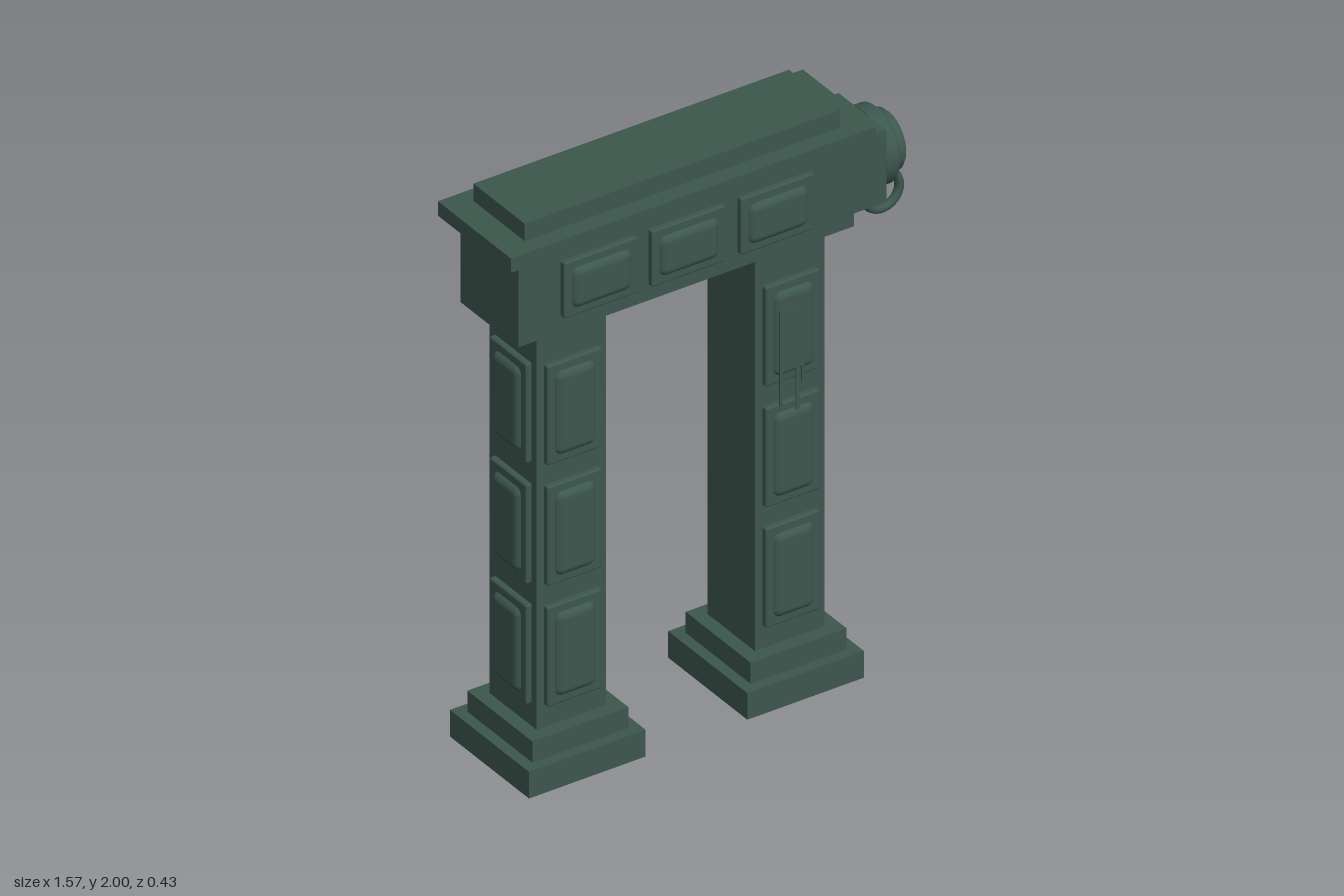
import * as THREE from 'three';
import { RoundedBoxGeometry } from 'three/addons/geometries/RoundedBoxGeometry.js';

export function createModel() {
  const root = new THREE.Group();
  root.name = 'stoneGate';
  const stone = new THREE.MeshStandardMaterial({ color: 0x3c574d });
  stone.name = 'dark green stone';

  const add = (parent, name, geometry, x = 0, y = 0, z = 0) => {
    const mesh = new THREE.Mesh(geometry, stone);
    mesh.name = name;
    mesh.position.set(x, y, z);
    parent.add(mesh);
    return mesh;
  };
  // box given by its x and y limits and half depth
  const block = (parent, name, x0, x1, y0, y1, hz) =>
    add(parent, name, new THREE.BoxGeometry(x1 - x0, y1 - y0, hz * 2), (x0 + x1) / 2, (y0 + y1) / 2, 0);

  // raised plate with a soft pillow; local +z points outward from the wall
  const panel = (parent, w, h, x, y, z, turn) => {
    const group = new THREE.Group();
    group.name = 'raisedPanel';
    add(group, 'panelPlate', new RoundedBoxGeometry(w, h, 0.04, 2, 0.007));
    add(group, 'panelPillow', new RoundedBoxGeometry(w - 0.046, h - 0.05, 0.07, 4, 0.03));
    group.position.set(x, y, z);
    group.rotation.y = turn;
    parent.add(group);
  };

  // pillars: stepped base, shaft, panels on front, back and outer side
  for (const [name, cx, out] of [['rightPillar', -0.517, -1], ['leftPillar', 0.28, 1]]) {
    const pillar = new THREE.Group();
    pillar.name = name;
    root.add(pillar);
    block(pillar, 'lowerBase', cx - 0.213, cx + 0.213, 0, 0.095, 0.213);
    block(pillar, 'upperBase', cx - 0.175, cx + 0.175, 0.095, 0.17, 0.175);
    block(pillar, 'shaft', cx - 0.127, cx + 0.127, 0.17, 1.59, 0.127);
    for (const y of [0.427, 0.857, 1.288]) {
      panel(pillar, 0.2, 0.355, cx, y, 0.127, 0);
      panel(pillar, 0.2, 0.355, cx, y, -0.127, Math.PI);
      panel(pillar, 0.2, 0.355, cx + out * 0.127, y, 0, out * Math.PI / 2);
    }
  }

  // lintel with three panels front and back
  const lintel = new THREE.Group();
  lintel.name = 'lintel';
  root.add(lintel);
  block(lintel, 'beam', -0.73, 0.495, 1.58, 1.88, 0.155);
  for (const x of [-0.44, -0.12, 0.205]) {
    panel(lintel, 0.27, 0.2, x, 1.735, 0.155, 0);
    panel(lintel, 0.27, 0.2, x, 1.735, -0.155, Math.PI);
  }
  block(lintel, 'corniceNeck', -0.69, 0.455, 1.87, 1.9, 0.14);
  block(lintel, 'cornice', -0.785, 0.548, 1.887, 1.938, 0.197);
  block(lintel, 'capSlab', -0.695, 0.457, 1.938, 2, 0.138);

  // side bracket with a round stepped boss
  const bracket = new THREE.Group();
  bracket.name = 'ringBracket';
  root.add(bracket);
  block(bracket, 'bracketBlock', 0.49, 0.632, 1.605, 1.86, 0.128);
  const steps = [[0.62, 0.634, 0.122, 0.128], [0.634, 0.68, 0.13, 0.13], [0.68, 0.687, 0.13, 0.123],
    [0.687, 0.72, 0.102, 0.102], [0.72, 0.727, 0.102, 0.095], [0.727, 0.733, 0.07, 0.064]];
  for (const [x0, x1, r0, r1] of steps) {
    const disc = new THREE.CylinderGeometry(r1, r0, x1 - x0, 40);
    add(bracket, 'bossStep', disc.rotateZ(-Math.PI / 2), (x0 + x1) / 2, 1.733, 0);
  }

  // hanging ring
  add(bracket, 'ring', new THREE.TorusGeometry(0.064, 0.015, 10, 36), 0.702, 1.556, 0);

  // thin drips hanging over the upper front panel
  const drips = new THREE.Group();
  drips.name = 'drips';
  root.add(drips);
  add(drips, 'dripPatch', new THREE.BoxGeometry(0.09, 0.22, 0.004), 0.265, 1.265, 0.161);
  for (const [x, y, w] of [[0.225, 1.04, 0.011], [0.285, 1.005, 0.012], [0.305, 1.1, 0.01]]) {
    add(drips, 'drip', new THREE.BoxGeometry(w, 1.16 - y, 0.004), x, (1.16 + y) / 2, 0.161);
  }
  return root;
}
